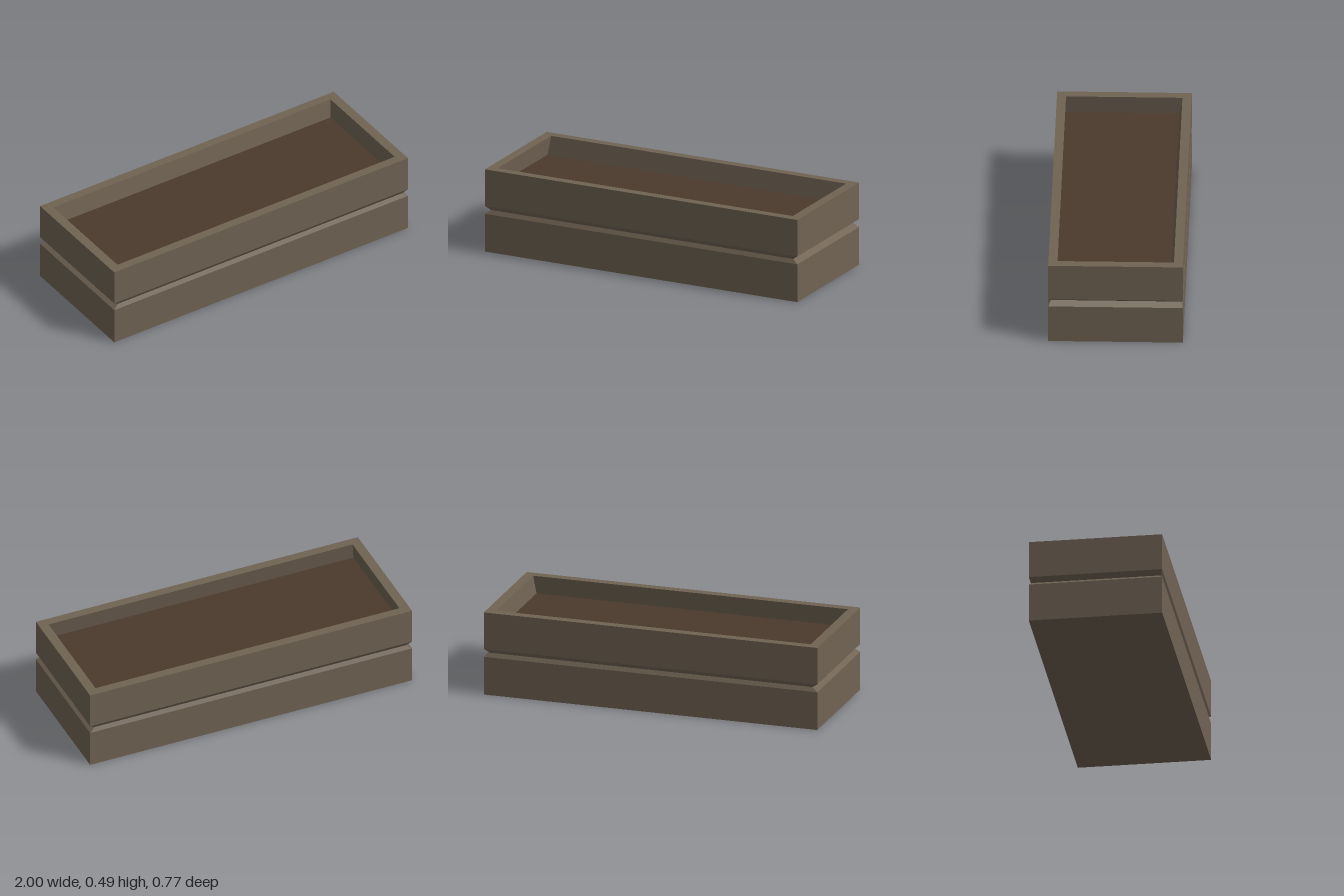
import * as THREE from 'three';

const wood = new THREE.MeshStandardMaterial({ color: 0x706353 });
wood.name = 'weathered wood';
const soil = new THREE.MeshStandardMaterial({ color: 0x4b392c });
soil.name = 'dark soil';

// Joins rectangular rings { hx, hz, y, ox, oz } into flat-sided walls, from first to last.
function ringWalls(rings) {
  const corners = ({ hx, hz, y, ox = 0, oz = 0 }) =>
    [[-1, 1], [1, 1], [1, -1], [-1, -1]].map(([sx, sz]) => [ox + sx * hx, y, oz + sz * hz]);
  const pos = [];
  for (let i = 0; i < rings.length - 1; i++) {
    const a = corners(rings[i]);
    const b = corners(rings[i + 1]);
    for (let k = 0; k < 4; k++) {
      const n = (k + 1) % 4;
      pos.push(...a[k], ...a[n], ...b[n], ...a[k], ...b[n], ...b[k]);
    }
  }
  const geo = new THREE.BufferGeometry();
  geo.setAttribute('position', new THREE.Float32BufferAttribute(pos, 3));
  geo.computeVertexNormals();
  return geo;
}

// Horizontal rectangle, facing up or down.
function panel({ hx, hz, y, ox = 0, oz = 0 }, up) {
  return new THREE.PlaneGeometry(hx * 2, hz * 2)
    .rotateX(up ? -Math.PI / 2 : Math.PI / 2)
    .translate(ox, y, oz);
}

export function createModel() {
  const group = new THREE.Group();
  group.name = 'planterBox';
  const add = (name, geo, mat) => {
    const mesh = new THREE.Mesh(geo, mat);
    mesh.name = name;
    group.add(mesh);
  };

  const outer = (y, s = 1) => ({ hx: s, hz: 0.383 * s, y });
  const mouth = { hx: 0.944, hz: 0.331, y: 0.492 };
  // The hollow leans slightly, so its floor sits off centre.
  const floor = { hx: 0.944, hz: 0.331, y: 0.382, ox: -0.014, oz: 0.019 };

  // Lower and upper boards meet in a V-shaped groove
  add('lowerBoards', ringWalls([outer(0), outer(0.226), outer(0.25, 0.967)]), wood);
  add('upperBoards', ringWalls([outer(0.25, 0.967), outer(0.273), outer(0.492)]), wood);
  add('rim', ringWalls([outer(0.492), mouth]), wood);
  add('innerWalls', ringWalls([mouth, floor]), wood);
  add('base', panel(outer(0), false), wood);
  add('soilBed', panel(floor, true), soil);
  return group;
}
